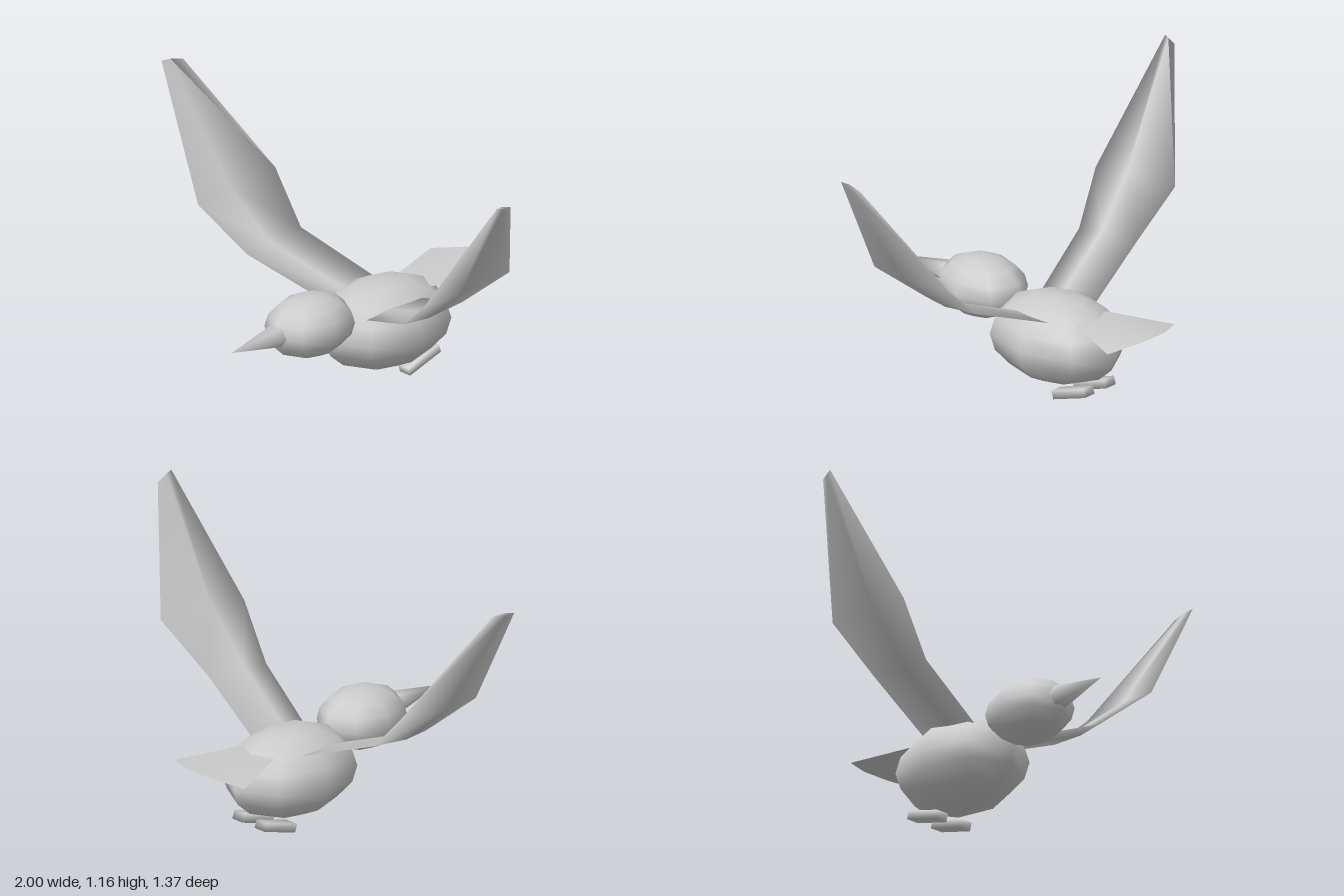
import * as THREE from 'three';
import { mergeVertices } from 'three/addons/utils/BufferGeometryUtils.js';

const material = new THREE.MeshStandardMaterial({ color: 0xcccccc });
const thinMaterial = new THREE.MeshStandardMaterial({ color: 0xcccccc, side: THREE.DoubleSide });

function addMesh(parent, name, geometry, mat = material) {
  const mesh = new THREE.Mesh(geometry, mat);
  mesh.name = name;
  parent.add(mesh);
  return mesh;
}

function ellipsoid(rx, ry, rz) {
  return new THREE.SphereGeometry(1, 8, 8).scale(rx, ry, rz);
}

// Weld all corners so that the shading runs smoothly over every edge
function smooth(geometry) {
  geometry.deleteAttribute('normal');
  geometry.deleteAttribute('uv');
  const welded = mergeVertices(geometry);
  welded.computeVertexNormals();
  return welded;
}

// Lens-shaped wing lofted through [front edge, back edge, half thickness] stations
function wingGeometry(stations, side) {
  const positions = [];
  const index = [];
  for (const [front, back, t] of stations) {
    const f = new THREE.Vector3(...front);
    const b = new THREE.Vector3(...back);
    const mid = f.clone().lerp(b, 0.4);
    // thickness grows along the local upward, inward direction
    const up = new THREE.Vector3(-0.5, 0.87, 0).multiplyScalar(t);
    for (const p of [f, mid.clone().add(up), b, mid.clone().sub(up)]) {
      positions.push(p.x * side, p.y, p.z);
    }
  }
  const tri = (a, b, c) => (side > 0 ? index.push(a, b, c) : index.push(a, c, b));
  const last = (stations.length - 1) * 4;
  for (let s = 0; s < last; s += 4) {
    for (let i = 0; i < 4; i++) {
      const [a, b] = [s + i, s + (i + 1) % 4];
      // upper and lower skins share the same diagonals, so they never cross
      if (i < 2) {
        tri(a, a + 4, b);
        tri(b, a + 4, b + 4);
      } else {
        tri(a, a + 4, b + 4);
        tri(a, b + 4, b);
      }
    }
  }
  // end caps
  tri(0, 1, 2);
  tri(0, 2, 3);
  tri(last, last + 2, last + 1);
  tri(last, last + 3, last + 2);
  const geometry = new THREE.BufferGeometry();
  geometry.setAttribute('position', new THREE.Float32BufferAttribute(positions, 3));
  geometry.setIndex(index);
  geometry.computeVertexNormals();
  return geometry;
}

// Slightly folded fan, a single thin surface
function tailGeometry() {
  const geometry = new THREE.BufferGeometry();
  geometry.setAttribute('position', new THREE.Float32BufferAttribute([
    -0.095, 0.365, -0.34, 0.095, 0.365, -0.34,
    0.205, 0.35, -0.612, 0.065, 0.38, -0.685,
    -0.065, 0.38, -0.685, -0.205, 0.35, -0.612,
  ], 3));
  geometry.setIndex([0, 1, 3, 0, 3, 4, 1, 2, 3, 0, 4, 5]);
  geometry.computeVertexNormals();
  return geometry;
}

export function createModel() {
  const bird = new THREE.Group();
  bird.name = 'bird';

  addMesh(bird, 'body', ellipsoid(0.235, 0.185, 0.315)).position.set(0, 0.235, -0.16);
  addMesh(bird, 'head', ellipsoid(0.162, 0.13, 0.205)).position.set(0, 0.345, 0.248);

  // beak: six-sided cone pointing forward
  const beak = new THREE.ConeGeometry(1, 0.25, 6).rotateY(Math.PI / 2).rotateX(Math.PI / 2);
  beak.scale(0.058, 0.047, 1);
  addMesh(bird, 'beak', smooth(beak)).position.set(0, 0.35, 0.555);

  addMesh(bird, 'tail', tailGeometry(), thinMaterial);

  // wing stations: root, elbow, wrist, tip; the two wings are twisted a little differently
  const leftStations = [
    [[0.06, 0.315, 0.02], [0.06, 0.33, -0.262], 0.012],
    [[0.455, 0.465, 0.147], [0.49, 0.487, -0.145], 0.012],
    [[0.675, 0.647, 0.237], [0.715, 0.68, -0.197], 0.012],
    [[0.996, 1.158, 0.134], [0.98, 1.133, 0.042], 0.006],
  ];
  const rightStations = [
    [[0.06, 0.315, 0.02], [0.06, 0.33, -0.262], 0.012],
    [[0.48, 0.465, 0.15], [0.488, 0.49, -0.155], 0.012],
    [[0.68, 0.647, 0.237], [0.682, 0.682, -0.192], 0.012],
    [[1.0, 1.155, 0.144], [0.962, 1.152, 0.06], 0.006],
  ];

  for (const [label, side, stations] of [['left', 1, leftStations], ['right', -1, rightStations]]) {
    addMesh(bird, label + 'Wing', wingGeometry(stations, side));

    // foot: flat bar tucked back under the body
    const foot = smooth(new THREE.BoxGeometry(0.06, 0.036, 0.18)).rotateX(0.31);
    addMesh(bird, label + 'Foot', foot).position.set(0.065 * side, 0.046, -0.3);
  }
  return bird;
}
